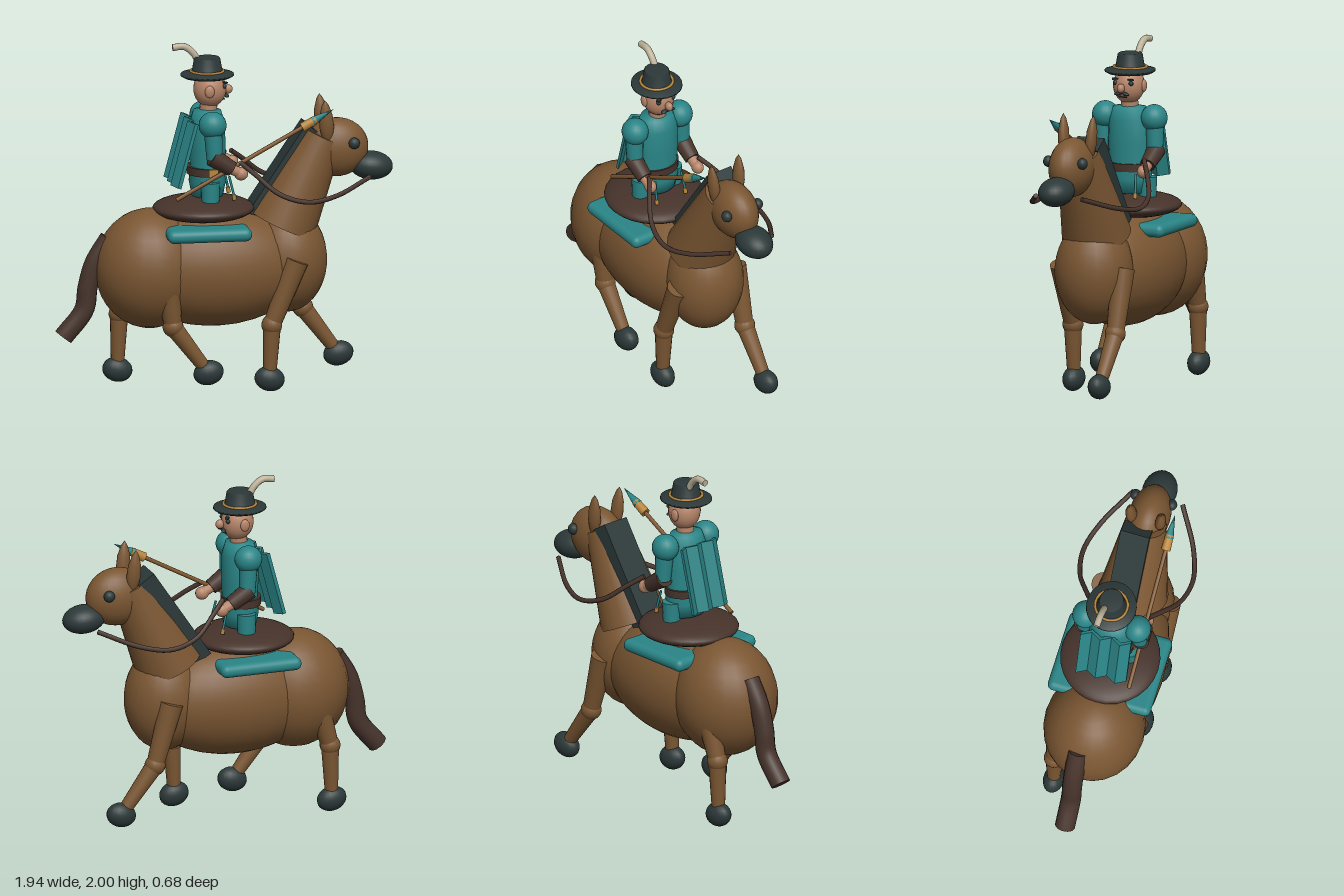
import * as THREE from 'three';
import { RoundedBoxGeometry } from 'three/addons/geometries/RoundedBoxGeometry.js';

const mat = (name, color) => {
  const m = new THREE.MeshStandardMaterial({ color });
  m.name = name;
  return m;
};

export function createModel() {
  const coat = mat('chestnut coat', 0x7a5632);
  const dark = mat('charcoal', 0x2c3838);
  const leather = mat('dark leather', 0x46332b);
  const teal = mat('teal cloth', 0x2a8587);
  const skin = mat('skin', 0xb58468);
  const gold = mat('gold trim', 0xb8853a);
  const wood = mat('lance wood', 0x80572f);
  const plume = mat('plume', 0xbcb198);

  const model = new THREE.Group();
  const horse = new THREE.Group();
  const rider = new THREE.Group();
  horse.name = 'horse';
  rider.name = 'rider';
  model.add(horse, rider);

  const V = (p) => new THREE.Vector3(...p);
  const add = (parent, name, geo, material, pos = [0, 0, 0], rot = [0, 0, 0]) => {
    const mesh = new THREE.Mesh(geo, material);
    mesh.name = name;
    mesh.position.set(...pos);
    mesh.rotation.set(...rot);
    parent.add(mesh);
    return mesh;
  };
  // Ellipsoid with radii r
  const ball = (parent, name, material, pos, r, rot, seg = 24) => {
    const geo = new THREE.SphereGeometry(1, seg, Math.round(seg * 0.7)).scale(...r);
    return add(parent, name, geo, material, pos, rot);
  };
  // Tapered cylinder between two points
  const limb = (parent, name, material, a, b, ra, rb, seg = 18) => {
    const dir = V(b).sub(V(a));
    const geo = new THREE.CylinderGeometry(rb, ra, dir.length(), seg);
    const mesh = add(parent, name, geo, material, V(a).add(V(b)).multiplyScalar(0.5).toArray());
    mesh.quaternion.setFromUnitVectors(new THREE.Vector3(0, 1, 0), dir.normalize());
    return mesh;
  };
  // Tube through points, closed by flat end caps
  const tube = (parent, name, material, pts, r, seg = 10) => {
    const curve = new THREE.CatmullRomCurve3(pts.map(V));
    add(parent, name, new THREE.TubeGeometry(curve, 28, r, seg), material);
    for (const [t, s] of [[0, -1], [1, 1]]) {
      const cap = add(parent, name + 'End', new THREE.CircleGeometry(r, seg), material, curve.getPointAt(t).toArray());
      cap.quaternion.setFromUnitVectors(new THREE.Vector3(0, 0, 1), curve.getTangentAt(t).multiplyScalar(s));
    }
  };

  // Horse body, neck and head
  ball(horse, 'barrel', coat, [-0.06, 0.7, 0], [0.54, 0.34, 0.29], [0, 0, 0], 28);
  ball(horse, 'rump', coat, [-0.43, 0.705, 0], [0.315, 0.345, 0.29]);
  ball(horse, 'chest', coat, [0.36, 0.73, 0], [0.23, 0.305, 0.225]);
  limb(horse, 'neck', coat, [0.33, 0.93, 0], [0.57, 1.44, 0], 0.2, 0.12, 24);
  ball(horse, 'head', coat, [0.645, 1.37, 0], [0.185, 0.17, 0.12]);
  ball(horse, 'muzzle', dark, [0.845, 1.257, 0], [0.126, 0.082, 0.1], [0, 0, -0.1]);
  add(horse, 'mane', new THREE.BoxGeometry(0.62, 0.11, 0.17), dark, [0.335, 1.23, -0.03], [0, 0, 0.982]);
  tube(horse, 'tail', leather, [[-0.66, 0.88, -0.026], [-0.745, 0.74, -0.026],
    [-0.785, 0.6, -0.026], [-0.805, 0.47, -0.026], [-0.925, 0.315, -0.026]], 0.058, 12);

  const earProfile = [[0, -0.13], [0.03, -0.1], [0.042, -0.03], [0.038, 0.04], [0.02, 0.1], [0, 0.13]]
    .map(([x, y]) => new THREE.Vector2(x, y));
  for (const s of [1, -1]) {
    ball(horse, 'horseEye', dark, [0.73, 1.41, s * 0.108], [0.033, 0.033, 0.03], [0, 0, 0], 14);
    add(horse, 'horseEar', new THREE.LatheGeometry(earProfile, 16).scale(1, 1, 0.75), coat,
      [0.573, 1.535, s * 0.088], [s * 0.06, 0, 0.08]);
    // Reins sweep out from the hand and back to the muzzle
    tube(horse, 'rein', leather, [[0.065, 1.335, s * 0.17], [0.14, 1.275, s * 0.225], [0.27, 1.17, s * 0.3],
      [0.43, 1.125, s * 0.325], [0.6, 1.145, s * 0.275], [0.815, 1.22, s * 0.145]], 0.014, 8);
  }

  // Legs: shoulder, knee, hoof and hoof tilt
  const legs = [
    ['frontLeftLeg', 1, [0.385, 0.76], [0.24, 0.39], [0.227, 0.077], -0.25],
    ['frontRightLeg', -1, [0.385, 0.76], [0.485, 0.4], [0.69, 0.125], 0.25],
    ['hindLeftLeg', 1, [-0.355, 0.6], [-0.33, 0.4], [-0.125, 0.125], 0.25],
    ['hindRightLeg', -1, [-0.5, 0.65], [-0.575, 0.4], [-0.585, 0.077], -0.25],
  ];
  for (const [name, s, hip, knee, foot, tilt] of legs) {
    const leg = new THREE.Group();
    leg.name = name;
    horse.add(leg);
    const at = ([x, y]) => [x, y, s * 0.195];
    limb(leg, 'upperLeg', coat, at(hip), at(knee), 0.068, 0.05);
    ball(leg, 'knee', coat, at(knee), [0.06, 0.06, 0.06], [0, 0, 0], 16);
    limb(leg, 'lowerLeg', coat, at(knee), at(foot), 0.052, 0.036);
    ball(leg, 'hoof', dark, at(foot), [0.088, 0.071, 0.06], [0, 0, tilt], 18);
  }

  // Saddle and blanket
  add(horse, 'saddleBlanket', new RoundedBoxGeometry(0.485, 0.075, 0.61, 4, 0.036), teal, [-0.13, 0.937, 0]);
  ball(horse, 'saddle', leather, [-0.122, 1.045, 0], [0.29, 0.068, 0.285], [0, 0, 0], 28);

  // Rider torso with belt
  const coatProfile = [[0, 1.1], [0.09, 1.12], [0.105, 1.2], [0.098, 1.28], [0.105, 1.4], [0.1, 1.54], [0.08, 1.61], [0, 1.63]]
    .map(([x, y]) => new THREE.Vector2(x, y));
  add(rider, 'jacket', new THREE.LatheGeometry(coatProfile, 20).scale(1, 1, 1.25), teal, [-0.1, 0, 0]);
  add(rider, 'belt', new THREE.CylinderGeometry(0.113, 0.113, 0.045, 24).scale(1, 1, 1.2), leather, [-0.105, 1.27, 0]);
  add(rider, 'beltBuckle', new THREE.BoxGeometry(0.055, 0.045, 0.012), gold, [-0.085, 1.27, 0.137]);

  // Arms and legs
  for (const s of [1, -1]) {
    ball(rider, 'shoulder', teal, [-0.095, 1.555, s * 0.155], [0.08, 0.078, 0.076], [0, 0, 0], 20);
    limb(rider, 'upperArm', teal, [-0.095, 1.55, s * 0.16], [-0.085, 1.36, s * 0.165], 0.054, 0.046);
    limb(rider, 'glove', leather, [-0.1, 1.375, s * 0.168], [0.015, 1.3, s * 0.166], 0.054, 0.044);
    limb(rider, 'wrist', skin, [0.005, 1.305, s * 0.166], [0.06, 1.275, s * 0.165], 0.032, 0.03, 14);
    ball(rider, 'hand', skin, [0.068, 1.27, s * 0.165], [0.04, 0.038, 0.034], [0, 0, 0], 16);
    limb(rider, 'thigh', teal, [-0.1, 1.07, s * 0.11], [-0.1, 1.215, s * 0.11], 0.05, 0.055);
    limb(rider, 'strap', teal, [0.012, 1.24, s * 0.09], [0.038, 1.13, s * 0.1], 0.007, 0.007, 8);
    limb(rider, 'strapEnd', gold, [0.036, 1.135, s * 0.1], [0.042, 1.105, s * 0.1], 0.012, 0.012, 8);
  }

  // Folded cape hanging down the back
  const folds = [-0.145, -0.087, -0.029, 0.029, 0.087, 0.145];
  const edge = folds.map((z, i) => [z, i % 2 ? 0.022 : -0.014]);
  const capeShape = new THREE.Shape([...edge, ...edge.map(([z, d]) => [z, d + 0.02]).reverse()]
    .map(([z, d]) => new THREE.Vector2(z, d)));
  const capeGeo = new THREE.ExtrudeGeometry(capeShape, { depth: 0.385, bevelEnabled: false });
  // Shape axes become z and -x, extrusion becomes -y
  capeGeo.applyMatrix4(new THREE.Matrix4().makeBasis(V([0, 0, 1]), V([1, 0, 0]), V([0, 1, 0])));
  capeGeo.translate(0, -0.385, 0);
  add(rider, 'cape', capeGeo, teal, [-0.215, 1.57, 0], [0, 0, -0.26]);

  // Head and face
  limb(rider, 'riderNeck', skin, [-0.095, 1.58, 0], [-0.09, 1.68, 0], 0.05, 0.05);
  ball(rider, 'riderHead', skin, [-0.085, 1.735, 0], [0.094, 0.105, 0.09]);
  ball(rider, 'nose', skin, [0.02, 1.73, 0], [0.027, 0.027, 0.022], [0, 0, 0], 14);
  add(rider, 'mouth', new THREE.BoxGeometry(0.009, 0.007, 0.05), dark, [-0.008, 1.678, 0], [0, 0, -0.5]);
  for (const s of [1, -1]) {
    ball(rider, 'riderEar', skin, [-0.1, 1.735, s * 0.088], [0.028, 0.036, 0.014], [0, 0, 0], 14);
    ball(rider, 'riderEye', dark, [-0.01, 1.757, s * 0.05], [0.013, 0.014, 0.014], [0, 0, 0], 12);
    add(rider, 'eyebrow', new THREE.BoxGeometry(0.02, 0.009, 0.04), dark, [-0.008, 1.779, s * 0.048], [0, s * 0.5, 0]);
    ball(rider, 'moustache', dark, [0.007, 1.698, s * 0.022], [0.014, 0.01, 0.026], [s * 0.2, s * 0.3, 0], 12);
  }

  // Hat with band and plume
  const hatProfile = [[0, 1.805], [0.135, 1.805], [0.153, 1.815], [0.152, 1.825], [0.1, 1.838], [0.088, 1.84], [0.075, 1.912], [0.068, 1.92], [0, 1.92]]
    .map(([x, y]) => new THREE.Vector2(x, y));
  add(rider, 'hat', new THREE.LatheGeometry(hatProfile, 28).scale(1, 1, 0.94), dark, [-0.1, 0, 0]);
  add(rider, 'hatBand', new THREE.TorusGeometry(0.093, 0.008, 8, 32), gold, [-0.1, 1.84, 0], [Math.PI / 2, 0, 0]);
  tube(rider, 'feather', plume, [[-0.145, 1.89, -0.025], [-0.18, 1.945, -0.025], [-0.23, 1.98, -0.027], [-0.295, 1.975, -0.03]], 0.02);

  // Lance along a straight line on the left side
  const lance = new THREE.Group();
  lance.name = 'lance';
  rider.add(lance);
  const along = (t) => [-0.305 + 0.905 * t, 1.13 + 0.495 * t, 0.165];
  limb(lance, 'shaft', wood, along(0), along(0.86), 0.012, 0.012, 10);
  limb(lance, 'socket', gold, along(0.8), along(0.89), 0.028, 0.024, 12);
  limb(lance, 'point', teal, along(0.87), along(1), 0.027, 0.001, 8);

  return model;
}
